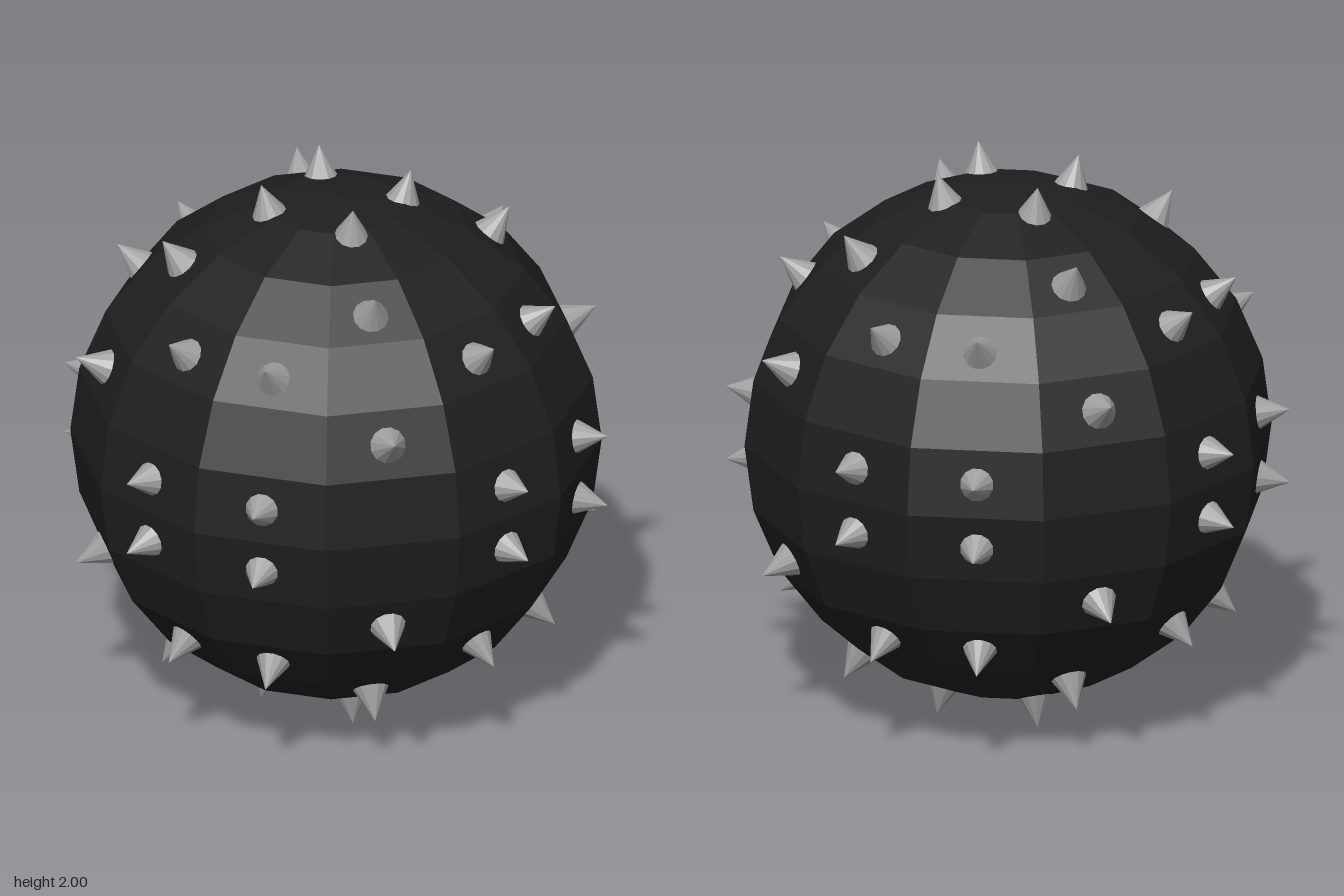
import * as THREE from 'three';

export function createModel() {
  const model = new THREE.Group();
  model.name = 'spikedBall';
  const black = new THREE.MeshStandardMaterial({ color: 0x1f1f1f, flatShading: true });
  black.name = 'black';
  const grey = new THREE.MeshStandardMaterial({ color: 0xa0a0a0, flatShading: true });
  grey.name = 'grey';

  // Faceted ball
  const ball = new THREE.Mesh(new THREE.SphereGeometry(0.93, 12, 12), black);
  ball.name = 'ball';
  ball.position.y = 1;
  model.add(ball);

  // Spike tips in one octant, measured from the ball's centre
  const tips = [
    [0.19, 1.0, 0.19],
    [0.44, 0.82, 0.44],
    [0.2, 0.62, 0.78],
    [0.78, 0.62, 0.2],
    [0.66, 0.40, 0.66],
    [0.96, 0.135, 0.26],
    [0.26, 0.135, 0.96],
  ];

  // Cone with its tip at the origin, pointing up
  const height = 0.14;
  const cone = new THREE.ConeGeometry(0.074, height, 12);
  cone.translate(0, -height / 2, 0);
  const up = new THREE.Vector3(0, 1, 0);

  // Mirror each spike into all eight octants
  const spikes = new THREE.Group();
  spikes.name = 'spikes';
  spikes.position.y = 1;
  for (const [x, y, z] of tips) {
    for (const sx of [1, -1]) for (const sy of [1, -1]) for (const sz of [1, -1]) {
      const spike = new THREE.Mesh(cone, grey);
      spike.name = 'spike';
      spike.position.set(x * sx, y * sy, z * sz);
      spike.quaternion.setFromUnitVectors(up, spike.position.clone().normalize());
      spikes.add(spike);
    }
  }
  model.add(spikes);
  return model;
}
